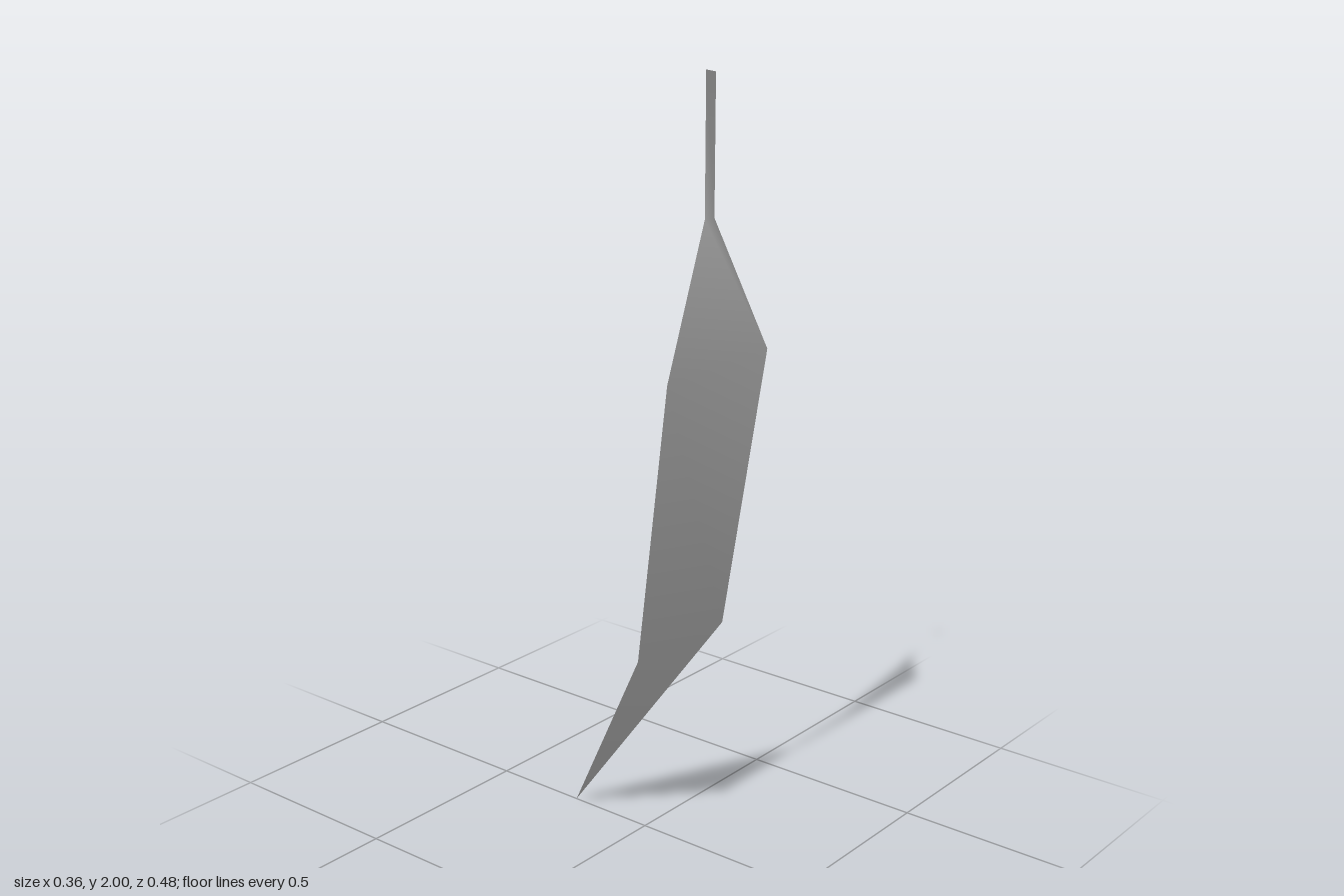
import * as THREE from 'three';

export function createModel() {
  const group = new THREE.Group();
  const material = new THREE.MeshStandardMaterial({ color: 0xcccccc, side: THREE.DoubleSide });

  // Cross-sections from the stem end down: left edge point, right edge point
  const sections = [
    [[-0.025, 2.0, 0.2], [0.025, 1.99, 0.19]],
    [[-0.025, 1.655, 0.2], [0.025, 1.65, 0.19]],
    [[-0.178, 1.29, 0.212], [0.178, 1.31, 0.24]],
    [[-0.174, 0.565, 0.12], [0.169, 0.56, 0.12]],
  ];
  const tip = [0, 0, -0.24];

  // Thin bent sheet: a strip of quads, closed by a triangle at the tip
  const index = [];
  for (let i = 0; i < sections.length - 1; i++) {
    const l = i * 2, r = l + 1;
    index.push(l, l + 2, r + 2, l, r + 2, r);
  }
  const last = sections.length * 2;
  index.push(last - 2, last, last - 1);

  const geometry = new THREE.BufferGeometry();
  geometry.setAttribute('position',
    new THREE.Float32BufferAttribute([...sections.flat(2), ...tip], 3));
  geometry.setIndex(index);
  geometry.computeVertexNormals();

  const blade = new THREE.Mesh(geometry, material);
  blade.name = 'leafBladeWithStem';
  group.add(blade);
  return group;
}
